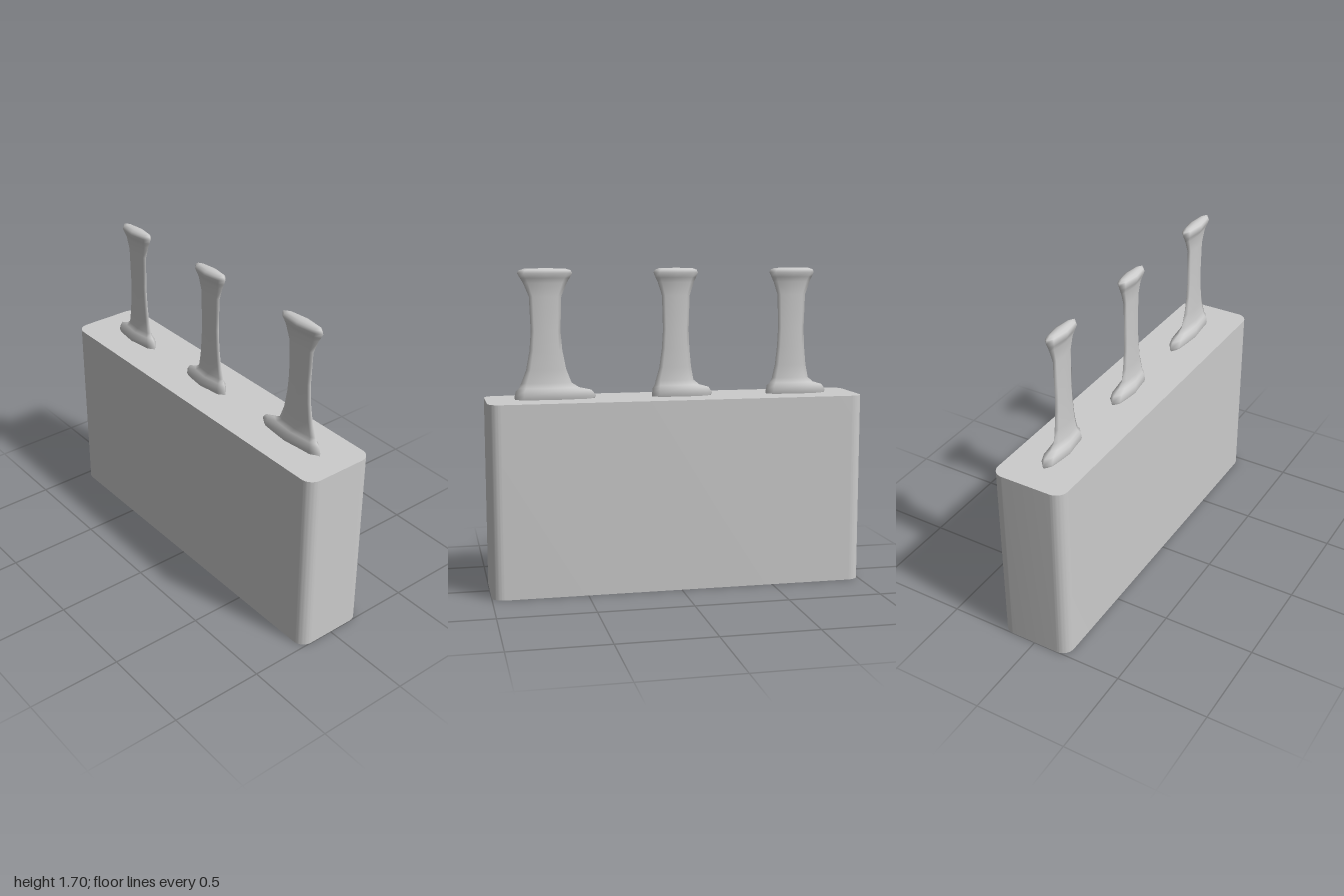
import * as THREE from 'three';
import { toCreasedNormals } from 'three/addons/utils/BufferGeometryUtils.js';

const material = new THREE.MeshStandardMaterial({ color: 0xcccccc });

// Left and right x limits of each handle at four heights
const HANDLES = [
  { name: 'leftHandle', base: [0.42, 0.85], collar: [0.55, 0.815], waist: [0.605, 0.76], cap: [0.54, 0.825] },
  { name: 'middleHandle', base: [-0.21, 0.12], collar: [-0.107, 0.1], waist: [-0.08, 0.06], cap: [-0.13, 0.11] },
  { name: 'rightHandle', base: [-0.85, -0.51], collar: [-0.75, -0.545], waist: [-0.722, -0.577], cap: [-0.775, -0.525] },
];

// Rings: height, lower outline, upper outline, blend, half depth
const RINGS = [
  [1.0, 'base', 'collar', 0.12, 0.037],
  [1.03, 'base', 'collar', 0, 0.05],
  [1.06, 'base', 'collar', 0.2, 0.045],
  [1.075, 'base', 'collar', 0.7, 0.033],
  [1.1, 'collar', 'waist', 0, 0.021],
  [1.17, 'collar', 'waist', 0.5, 0.017],
  [1.27, 'collar', 'waist', 0.85, 0.015],
  [1.37, 'waist', 'cap', 0, 0.014],
  [1.55, 'waist', 'cap', 0.1, 0.014],
  [1.62, 'waist', 'cap', 0.55, 0.019],
  [1.645, 'waist', 'cap', 0.78, 0.03],
  [1.67, 'waist', 'cap', 1, 0.04],
  [1.685, 'waist', 'cap', 0.87, 0.033],
  [1.693, 'waist', 'cap', 0.45, 0.018],
];

// Slim pointed cross-section, running from +x round through +z
const SECTION = [[1, 0], [0.78, 0.62], [0, 1], [-0.78, 0.62], [-1, 0], [-0.78, -0.62], [0, -1], [0.78, -0.62]];

function handleGeometry(handle) {
  const n = SECTION.length;
  const positions = [];
  const index = [];
  let middle = 0;
  for (const [y, lower, upper, blend, depth] of RINGS) {
    const [left, right] = [0, 1].map((s) => THREE.MathUtils.lerp(handle[lower][s], handle[upper][s], blend));
    middle = (left + right) / 2;
    for (const [u, v] of SECTION) positions.push(middle + (u * (right - left)) / 2, y, v * depth);
  }
  for (let i = 0; i < RINGS.length - 1; i++) {
    for (let j = 0; j < n; j++) {
      const a = i * n + j;
      const b = i * n + ((j + 1) % n);
      index.push(a, a + n, b, b, a + n, b + n);
    }
  }
  // Close the top
  const top = RINGS.length * n;
  positions.push(middle, 1.696, 0);
  for (let j = 0; j < n; j++) index.push(top, top - n + ((j + 1) % n), top - n + j);

  const geometry = new THREE.BufferGeometry();
  geometry.setAttribute('position', new THREE.Float32BufferAttribute(positions, 3));
  geometry.setIndex(index);
  geometry.computeVertexNormals();
  return geometry;
}

// Upright block with rounded vertical corners
function blockGeometry(w, d, h, r) {
  const shape = new THREE.Shape();
  shape.absarc(w - r, d - r, r, 0, Math.PI / 2);
  shape.absarc(-w + r, d - r, r, Math.PI / 2, Math.PI);
  shape.absarc(-w + r, -d + r, r, Math.PI, Math.PI * 1.5);
  shape.absarc(w - r, -d + r, r, Math.PI * 1.5, Math.PI * 2);
  const geometry = new THREE.ExtrudeGeometry(shape, { depth: h, bevelEnabled: false, curveSegments: 8 });
  geometry.rotateX(-Math.PI / 2);
  return toCreasedNormals(geometry, Math.PI / 5);
}

export function createModel() {
  const model = new THREE.Group();
  model.name = 'knifeBlock';

  const block = new THREE.Mesh(blockGeometry(1, 0.2, 1.015, 0.065), material);
  block.name = 'block';
  model.add(block);

  for (const handle of HANDLES) {
    const mesh = new THREE.Mesh(handleGeometry(handle), material);
    mesh.name = handle.name;
    model.add(mesh);
  }
  return model;
}
